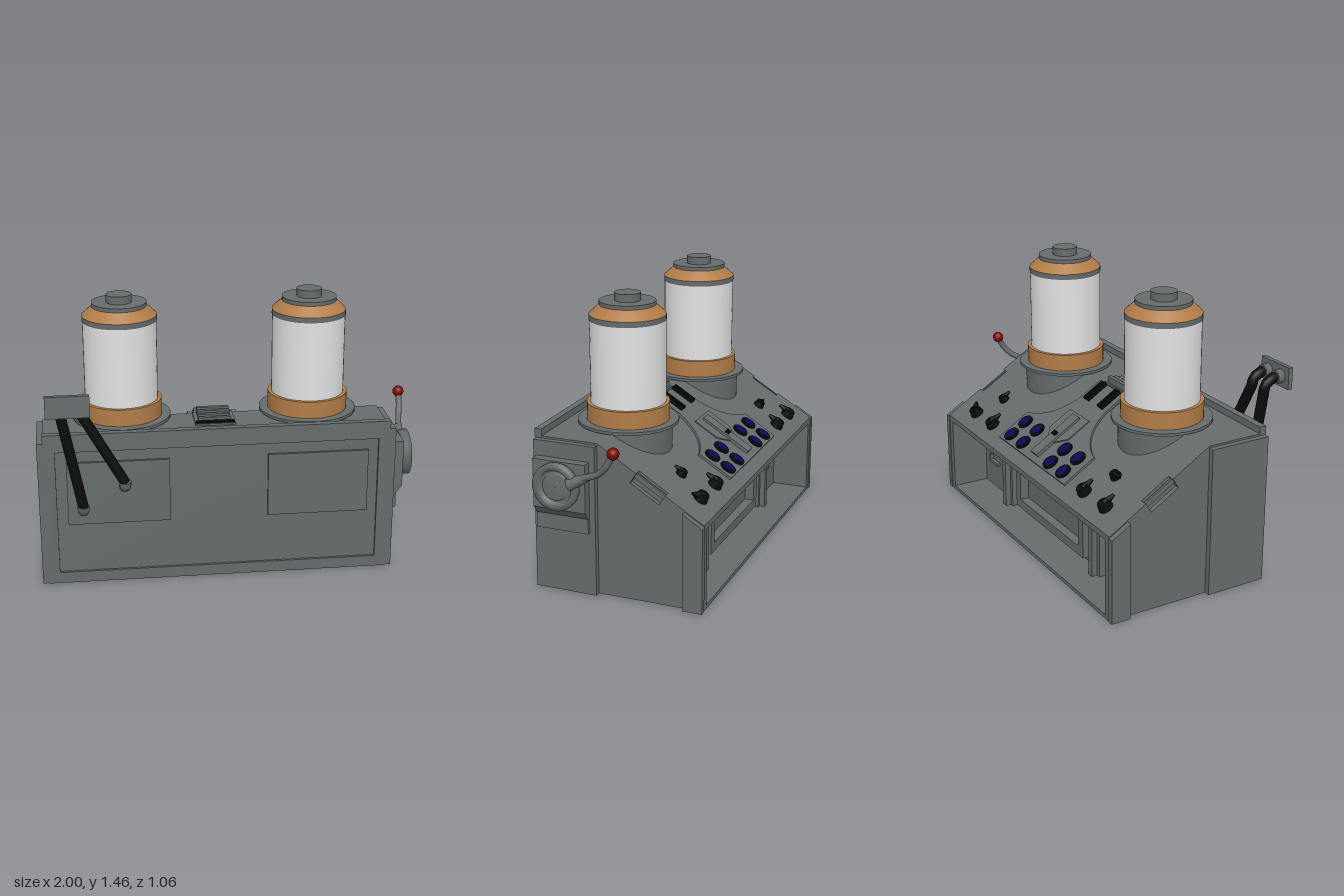
import * as THREE from 'three';

const CX = -0.078;                      // centre line of the cabinet
const SLOPE = Math.atan2(0.34, 0.555);  // tilt of the control desk

const material = (name, color) => {
  const m = new THREE.MeshStandardMaterial({ color });
  m.name = name;
  return m;
};

export function createModel() {
  const model = new THREE.Group();
  model.name = 'controlConsole';
  const grey = material('steelGrey', 0x666b6b);
  const copper = material('copper', 0xb27d48);
  const white = material('drumWhite', 0xe2e2e2);
  const black = material('black', 0x0b0c0c);
  const blue = material('buttonBlue', 0x0a0a56);
  const red = material('knobRed', 0x7c0c0c);

  const add = (name, geo, mat, x = 0, y = 0, z = 0, parent = model) => {
    const m = new THREE.Mesh(geo, mat);
    m.name = name;
    m.position.set(x, y, z);
    parent.add(m);
    return m;
  };
  // Box given by its limits
  const box = (name, mat, x0, x1, y0, y1, z0, z1, parent = model) =>
    add(name, new THREE.BoxGeometry(x1 - x0, y1 - y0, z1 - z0), mat,
      (x0 + x1) / 2, (y0 + y1) / 2, (z0 + z1) / 2, parent);
  const cyl = (name, mat, rTop, rBottom, y0, y1, x, z, parent = model, sides = 40) =>
    add(name, new THREE.CylinderGeometry(rTop, rBottom, y1 - y0, sides), mat, x, (y0 + y1) / 2, z, parent);
  const polygon = pts => new THREE.Shape(pts.map(p => new THREE.Vector2(...p)));
  const extrude = (shape, depth) =>
    new THREE.ExtrudeGeometry(shape, { depth, bevelEnabled: false, curveSegments: 16 });
  // Side profile (z, y) extruded from x0 to x1
  const sideProfile = (name, pts, x0, x1) => {
    const m = add(name, extrude(polygon(pts), x1 - x0), grey, x1);
    m.rotation.y = -Math.PI / 2;
  };
  // Flat frame in the xy plane
  const frame = (name, x0, x1, y0, y1, border, z, depth) => {
    const rect = b => [[x0 + b, y0 + b], [x1 - b, y0 + b], [x1 - b, y1 - b], [x0 + b, y1 - b]];
    const shape = polygon(rect(0));
    shape.holes.push(new THREE.Path(rect(border).reverse().map(p => new THREE.Vector2(...p))));
    add(name, extrude(shape, depth), grey, 0, 0, z);
  };
  // Points of a square-cut notch in the sloping edge
  const notch = depth => [[-0.175, 0], [-0.175, depth], [-0.325, depth], [-0.325, 0]].map(([z, d]) =>
    [z + d * Math.sin(SLOPE), 0.79 + (z - 0.03) * Math.tan(SLOPE) - d * Math.cos(SLOPE)]);

  // Cabinet with an open bay under the desk
  const top = [[0.35, 0], [0.35, 0.79], [0.03, 0.79]];
  const rear = [[-0.525, 0.45], [-0.525, 0]];
  sideProfile('cabinet', [...top, [-0.525, 0.45], [-0.525, 0.42], [-0.32, 0.545], [-0.32, 0.02],
    [-0.525, 0.02], [-0.525, 0]], -0.93, 0.775);
  // Ends, with a hand notch cut through the outer skin
  for (const [x, inner] of [[-0.97, -0.945], [0.79, 0.775]]) {
    sideProfile('endWall', [...top, ...notch(0.06), ...rear], x, x + 0.025);
    sideProfile('endStrip', [...top, ...notch(0.018), ...rear], inner, inner + 0.015);
  }
  // Corner trims stand out from the end walls
  for (const x of [-1, 0.813]) {
    sideProfile('frontTrim', [[0.358, 0], [0.358, 0.78], [0.03, 0.78], [0.03, 0]], x, x + 0.033);
    sideProfile('rearTrim', [[-0.425, 0], [-0.425, 0.505], [-0.528, 0.442], [-0.528, 0]], x, x + 0.033);
  }

  // Front face: ridge, raised border and two hatches
  box('frontRidge', grey, -0.97, 0.815, 0.78, 0.825, 0.327, 0.364);
  frame('frontBorder', -0.97, 0.815, 0, 0.79, 0.06, 0.35, 0.013);
  for (const x of [-0.855, 0.178]) box('frontHatch', grey, x, x + 0.525, 0.33, 0.67, 0.34, 0.363);

  // Bay back wall: panel frame, pilasters and brackets
  frame('bayPanelFrame', CX - 0.37, CX + 0.37, 0.06, 0.44, 0.05, -0.37, 0.06);
  for (const s of [-1, 1]) {
    const px = CX + s * 0.48;
    box('bayPilaster', grey, px - 0.04, px + 0.04, 0.02, 0.47, -0.36, -0.31);
    box('bayPilasterRib', grey, px - 0.018, px + 0.018, 0.02, 0.45, -0.39, -0.355);
    const bx = CX + s * 0.68 + 0.04;
    for (const y of [0.17, 0.31]) {
      box('bayBracket', grey, bx - 0.05, bx + 0.05, y, y + 0.015, -0.34, -0.31);
      box('bayBracketEnd', grey, bx + 0.035, bx + 0.05, y, y + 0.045, -0.34, -0.31);
    }
  }

  // Drums on flanged wells
  for (const x of [-0.553, 0.433]) {
    const drum = new THREE.Group();
    drum.name = 'drum';
    drum.position.set(x, 0, 0.03);
    model.add(drum);
    const ring = (name, mat, rt, rb, y0, y1) => cyl(name, mat, rt, rb, y0, y1, 0, 0, drum, 48);
    ring('drumWell', grey, 0.222, 0.222, 0.55, 0.8);
    ring('drumFlange', grey, 0.256, 0.256, 0.795, 0.81);
    ring('drumBase', copper, 0.21, 0.21, 0.81, 0.9);
    ring('drumBody', white, 0.191, 0.191, 0.9, 1.32);
    ring('drumBand', grey, 0.193, 0.193, 1.32, 1.348);
    ring('drumShoulder', copper, 0.142, 0.193, 1.348, 1.395);
    ring('drumLid', grey, 0.142, 0.142, 1.395, 1.415);
    ring('drumCap', grey, 0.066, 0.066, 1.415, 1.455);
  }

  // Sloping control desk: local y is its normal, local z runs up the slope
  const desk = new THREE.Group();
  desk.name = 'controlDesk';
  desk.position.set(0, 0.79, 0.03);
  desk.rotation.x = -SLOPE;
  model.add(desk);
  const along = z => (z - 0.03) / Math.cos(SLOPE);
  const deskBox = (name, mat, x0, x1, h0, h1, z0, z1) =>
    box(name, mat, x0, x1, h0, h1, along(z0), along(z1), desk);

  // Raised instrument plate curving round the drums
  const plate = new THREE.Shape();
  const P = z => -along(z);
  plate.moveTo(-0.36, P(-0.465));
  plate.lineTo(-0.36, P(-0.29));
  plate.quadraticCurveTo(-0.17, P(-0.25), -0.13, P(-0.09));
  plate.lineTo(-0.13, P(0.03));
  plate.lineTo(0.13, P(0.03));
  plate.lineTo(0.13, P(-0.09));
  plate.quadraticCurveTo(0.17, P(-0.25), 0.36, P(-0.29));
  plate.lineTo(0.36, P(-0.465));
  add('instrumentPlate', extrude(plate, 0.012), grey, CX, 0, 0, desk).rotation.x = -Math.PI / 2;

  // Round blue buttons
  for (const x of [-0.357, -0.223, 0.08, 0.214]) for (const z of [-0.422, -0.336]) {
    cyl('buttonRim', black, 0.043, 0.043, 0.01, 0.021, x, along(z), desk, 20);
    cyl('button', blue, 0.031, 0.031, 0.02, 0.024, x, along(z), desk, 20);
  }

  // Slider with a tapered foot in the middle of the plate
  const foot = polygon([[-0.1, P(-0.165)], [-0.1, P(-0.29)], [-0.033, P(-0.34)],
    [0.033, P(-0.34)], [0.1, P(-0.29)], [0.1, P(-0.165)]]);
  add('sliderFoot', extrude(foot, 0.018), grey, CX, 0, 0, desk).rotation.x = -Math.PI / 2;
  deskBox('sliderTrack', grey, CX - 0.033, CX + 0.033, 0.012, 0.03, -0.435, -0.18);
  deskBox('sliderHandle', black, CX - 0.015, CX + 0.015, 0.03, 0.042, -0.315, -0.295);

  // Pointer knobs: x, z, heading, size
  const knobs = [[-0.788, -0.435, 0, 1], [-0.585, -0.435, 0, 1], [-0.662, -0.302, -1.57, 0.8],
    [0.427, -0.435, 0, 1], [0.63, -0.435, 0.9, 1], [0.55, -0.302, 0, 0.75]];
  for (const [x, z, heading, size] of knobs) {
    const knob = new THREE.Group();
    knob.name = 'pointerKnob';
    knob.position.set(x, 0, along(z));
    knob.rotation.y = heading;
    knob.scale.setScalar(size);
    desk.add(knob);
    cyl('knobBase', black, 0.03, 0.038, 0, 0.038, 0, 0, knob, 16);
    const pointer = cyl('knobPointer', black, 0.008, 0.022, 0, 0.065, 0, 0.035, knob, 12);
    pointer.rotation.x = Math.PI / 2;
    pointer.position.y = 0.026;
  }

  // Paired levers
  for (const x of [-0.165, -0.137, -0.024, 0.004]) {
    deskBox('lever', black, x - 0.008, x + 0.008, 0.01, 0.03, -0.085, 0.03);
  }

  // Stepped grille between the drums
  box('grilleBox', grey, CX - 0.105, CX + 0.105, 0.78, 0.8, 0.04, 0.225);
  for (let i = 0; i < 4; i++) {
    const z = 0.05 + i * 0.033;
    box('grilleBar', grey, CX - 0.085, CX + 0.085, 0.795, 0.835 - i * 0.007, z, z + 0.022);
  }
  box('grilleSlot', black, CX - 0.1, CX + 0.1, 0.795, 0.806, 0.185, 0.218);

  // Grip bars inside the end notches
  for (const x of [-0.952, 0.797]) deskBox('notchBar', grey, x - 0.006, x + 0.006, -0.03, -0.004, -0.335, -0.165);

  // Crank on the left end
  sideProfile('crankBackPlate', [[0.34, 0.33], [0.34, 0.7], [0.06, 0.7], [0.06, 0.33]], 0.84, 0.864);
  const mount = [[0.85, 0.41], [0.864, 0.41], [0.894, 0.45], [0.894, 0.7], [0.85, 0.7]];
  add('crankMount', extrude(polygon(mount), 0.28), grey, 0, 0, 0.06);
  const turned = [[0.001, 0], [0.09, 0], [0.12, 0.025], [0.12, 0.058], [0.088, 0.058], [0.085, 0.04], [0.07, 0.04], [0.068, 0.05], [0.001, 0.05]];
  add('crankWheel', new THREE.LatheGeometry(turned.map(p => new THREE.Vector2(...p)), 40), grey,
    0.89, 0.585, 0.197).rotation.z = -Math.PI / 2;
  const tube = (name, mat, pts, r, tension = 0.3) => {
    const curve = new THREE.CatmullRomCurve3(pts.map(p => new THREE.Vector3(...p)), false, 'catmullrom', tension);
    return add(name, new THREE.TubeGeometry(curve, 28, r, 14), mat);
  };
  tube('crankArm', grey, [[0.925, 0.61, 0.12], [0.937, 0.645, 0.06], [0.957, 0.69, -0.04], [0.97, 0.74, -0.09], [0.972, 0.8, -0.122]], 0.016);
  const root = cyl('crankArmRoot', grey, 0.017, 0.034, -0.06, 0.06, 0, 0);
  root.position.set(0.932, 0.635, 0.07);
  root.rotation.x = -1.1;
  add('crankBall', new THREE.SphereGeometry(0.03, 24, 16), red, 0.971, 0.81, -0.127);

  // Push handle on two bent rods: top x, bottom x, bottom y
  box('handleBlock', grey, -0.945, -0.727, 0.975, 1.088, 0.507, 0.531);
  for (const [xt, xb, yb] of [[-0.883, -0.776, 0.45], [-0.783, -0.561, 0.575]]) {
    const socket = cyl('handleSocket', grey, 0.036, 0.036, -0.02, 0.02, 0, 0, model, 20);
    socket.position.set(xt, 1.03, 0.49);
    socket.rotation.x = Math.PI / 2;
    tube('handleRod', black, [[xt, 1.03, 0.48], [xt, 1.028, 0.455], [xt + 0.003, 1, 0.418],
      [xt + 0.008, 0.96, 0.413], [xb, yb, 0.415]], 0.027, 0.15);
    tube('rodFoot', grey, [[xb, yb + 0.01, 0.415], [xb, yb - 0.02, 0.405], [xb, yb - 0.05, 0.345]], 0.03);
  }
  return model;
}
